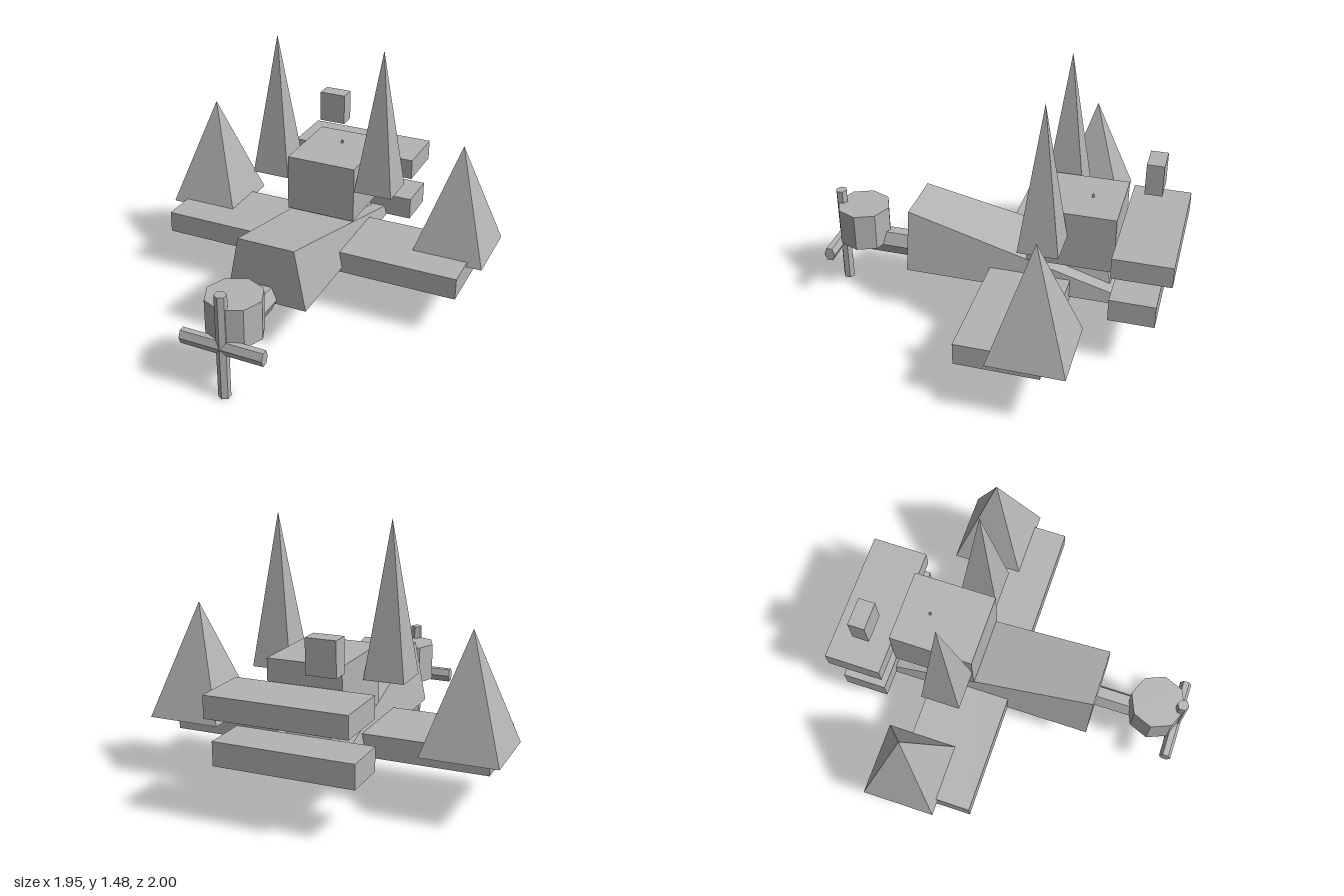
import * as THREE from 'three';

const grey = new THREE.MeshStandardMaterial({ color: 0xb4b4b4 });
grey.name = 'grey';

export function createModel() {
  const model = new THREE.Group();
  model.name = 'blockyAircraft';

  // Every part is faceted: unshared vertices give flat face normals
  function add(name, geometry, x = 0, y = 0, z = 0) {
    const flat = geometry.index ? geometry.toNonIndexed() : geometry;
    flat.computeVertexNormals();
    const mesh = new THREE.Mesh(flat, grey);
    mesh.name = name;
    mesh.position.set(x, y, z);
    model.add(mesh);
    return mesh;
  }

  // Box given by its limits
  function box(name, x0, x1, y0, y1, z0, z1) {
    add(name, new THREE.BoxGeometry(x1 - x0, y1 - y0, z1 - z0),
      (x0 + x1) / 2, (y0 + y1) / 2, (z0 + z1) / 2);
  }

  // Square pyramid with axis-aligned base
  function pyramid(name, x, z, half, y0, y1) {
    const g = new THREE.ConeGeometry(half * Math.SQRT2, y1 - y0, 4).rotateY(Math.PI / 4);
    add(name, g, x, (y0 + y1) / 2, z);
  }

  // Wings, tail planes, cabin and chimney block
  box('mainWing', -0.89, 0.89, 0.255, 0.38, -0.44, 0.012);
  box('lowerTailPlane', -0.382, 0.382, 0.29, 0.42, -0.93, -0.68);
  box('upperTailPlane', -0.38, 0.38, 0.56, 0.68, -1, -0.68);
  box('cabin', -0.205, 0.205, 0.47, 0.798, -0.672, -0.195);
  box('tailBlock', -0.26, -0.1, 0.797, 0.98, -0.863, -0.767);

  // Wedge fuselage: trapezoid nose tapering to a flat tail edge
  const a = [-0.23, 0.284, 0.495], b = [0.23, 0.284, 0.495];
  const c = [0.163, 0.63, 0.495], d = [-0.163, 0.63, 0.495];
  const e = [-0.23, 0.284, -0.915], f = [0.23, 0.284, -0.915];
  const corners = [a, b, c, a, c, d, a, e, f, a, f, b, d, c, f, d, f, e, b, f, c, a, d, e];
  const wedge = new THREE.BufferGeometry();
  wedge.setAttribute('position', new THREE.Float32BufferAttribute(corners.flat(), 3));
  add('fuselage', wedge);

  // Spires on the wings and beside the cabin
  for (const side of [-1, 1]) {
    pyramid('wingSpire', side * 0.77, -0.38, 0.205, 0.355, 0.975);
    pyramid('cabinSpire', side * 0.317, -0.305, 0.11, 0.66, 1.475);
  }
  // Centre spire, its tip just breaking the cabin roof
  pyramid('centreSpire', 0, -0.507, 0.157, 0.3, 0.823);

  // Hexagonal nose shaft, slightly taller than wide
  const shaft = new THREE.CylinderGeometry(0.062, 0.062, 0.32, 6)
    .rotateY(Math.PI / 2).rotateX(Math.PI / 2).scale(1, 1.31, 1);
  add('noseShaft', shaft, 0, 0.309, 0.652);

  // Octagonal engine
  add('engine', new THREE.CylinderGeometry(0.155, 0.155, 0.222, 8), 0, 0.419, 0.833);

  // Crossed propeller blades
  add('verticalBlade', new THREE.CylinderGeometry(0.033, 0.033, 0.605, 6), 0, 0.3025, 0.967);
  const blade = new THREE.CylinderGeometry(0.033, 0.033, 0.465, 6)
    .rotateZ(Math.PI / 2).scale(1, 1.35, 1);
  add('horizontalBlade', blade, 0, 0.303, 0.967);

  return model;
}
